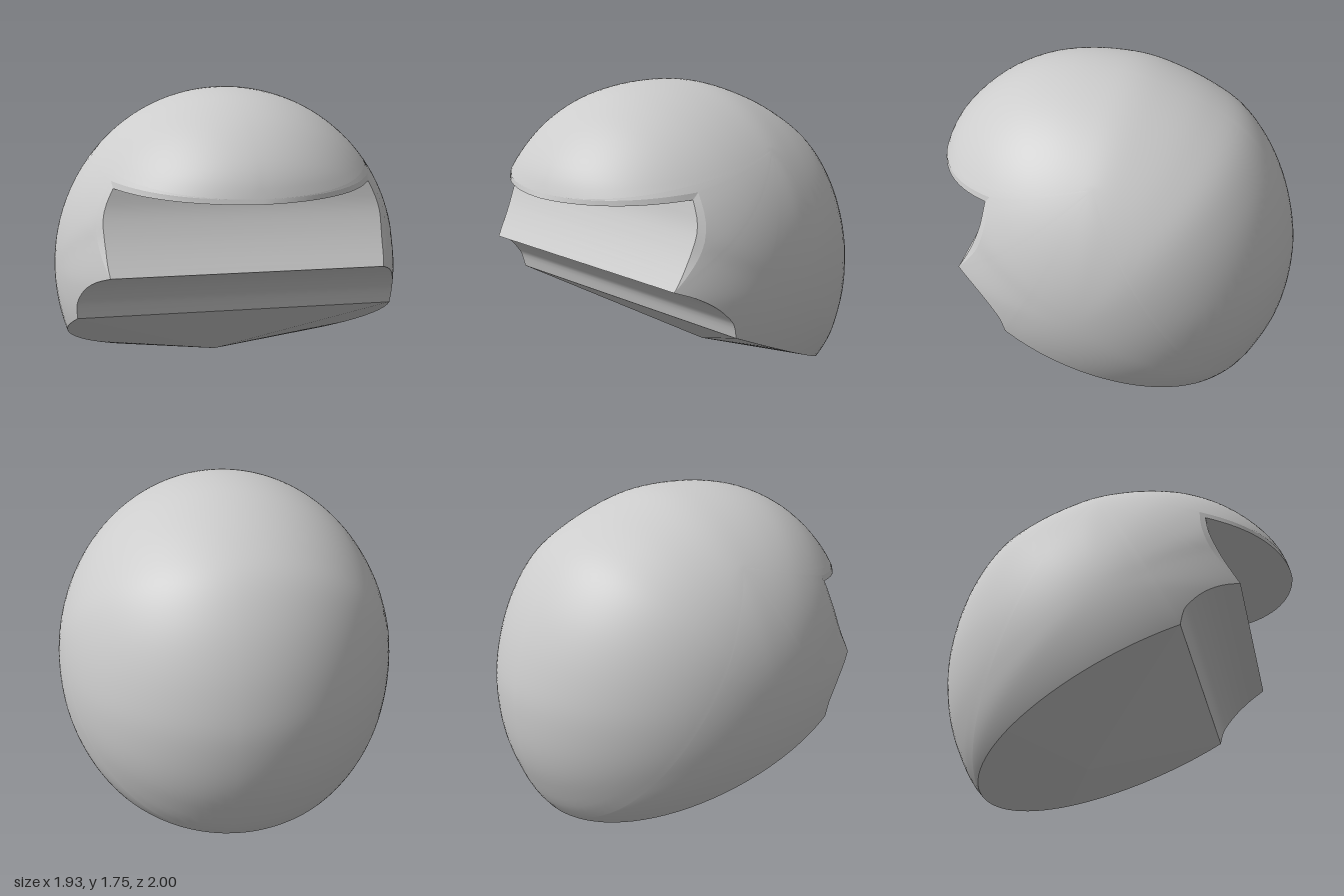
import * as THREE from 'three';
import { mergeVertices } from 'three/addons/utils/BufferGeometryUtils.js';

// Side-plane points are [z, y].
const HALF_WIDTH = 0.966;
const CENTRE = [0.05, 0.75];
const SPOKE_HUB = [0, 1.45];

// Full side outline of the dome, continued past the cuts
const OUTLINE = [
  [1, 1.25], [0.97, 1.33], [0.917, 1.416], [0.81, 1.53], [0.676, 1.63], [0.504, 1.71],
  [0.316, 1.752], [0.11, 1.763], [-0.075, 1.747], [-0.263, 1.693], [-0.477, 1.6],
  [-0.676, 1.47], [-0.826, 1.28], [-0.933, 1.047], [-0.992, 0.796], [-1, 0.636],
  [-0.976, 0.422], [-0.917, 0.235], [-0.788, 0.01], [-0.45, -0.2], [0.05, -0.28],
  [0.6, -0.12], [1, 0.28], [1.13, 0.8],
];
const TAU = Math.PI * 2;
const angleOf = ([z, y]) => Math.atan2(y - CENTRE[1], z - CENTRE[0]);
const polar = new THREE.CatmullRomCurve3(OUTLINE.map(([z, y]) => new THREE.Vector3(z, y, 0)), true)
  .getPoints(480).map((p) => ({
    a: angleOf([p.x, p.y]),
    r: Math.hypot(p.x - CENTRE[0], p.y - CENTRE[1]),
  }));
const start = polar[0].a;
polar.forEach((p, i) => {
  p.a = (p.a - start + TAU) % TAU;
  if (i === 0) p.a = 0;
  if (i === polar.length - 1) p.a = TAU;
});

function radiusAt(angle) {
  const a = (angle - start + 2 * TAU) % TAU;
  let i = 1;
  while (i < polar.length - 1 && polar[i].a < a) i++;
  const p = polar[i - 1], q = polar[i];
  return p.r + (q.r - p.r) * (a - p.a) / Math.max(q.a - p.a, 1e-9);
}
const onOutline = (a) => [CENTRE[0] + radiusAt(a) * Math.cos(a), CENTRE[1] + radiusAt(a) * Math.sin(a)];

// Half width of the dome at a side-plane point
function halfWidth(p) {
  const k = Math.hypot(p[0] - CENTRE[0], p[1] - CENTRE[1]) / radiusAt(angleOf(p));
  const s = 1 - k * k;
  return s < 1e-5 ? 0 : HALF_WIDTH * Math.sqrt(s);
}

const mix = (a, b, t) => [a[0] + (b[0] - a[0]) * t, a[1] + (b[1] - a[1]) * t];
// Line whose points crowd towards b (or towards a with crowdStart)
function line(a, b, n, crowdStart = false) {
  return Array.from({ length: n + 1 }, (_, i) => {
    const t = (i / n) * Math.PI / 2;
    return mix(a, b, crowdStart ? 1 - Math.cos(t) : Math.sin(t));
  });
}
function smooth(points, n) {
  return new THREE.CatmullRomCurve3(points.map(([z, y]) => new THREE.Vector3(z, y, 0)))
    .getPoints(n).map((p) => [p.x, p.y]);
}

function geometry(positions, index) {
  let g = new THREE.BufferGeometry();
  g.setAttribute('position', new THREE.Float32BufferAttribute(positions, 3));
  if (index) {
    g.setIndex(index);
    g = mergeVertices(g, 1e-5);
  }
  g.computeVertexNormals();
  return g;
}

// Dome: spokes from the hub to the boundary, bulged out to both sides
function domeGeometry(boundary) {
  const rings = 28, pos = [], index = [];
  for (const side of [1, -1]) {
    const base = pos.length / 3;
    for (const b of boundary) {
      for (let k = 0; k <= rings; k++) {
        const p = mix(SPOKE_HUB, b, Math.sin((k / rings) * Math.PI / 2));
        pos.push(side * halfWidth(p), p[1], p[0]);
      }
    }
    const row = rings + 1, n = boundary.length;
    for (let i = 0; i < n; i++) {
      for (let k = 0; k < rings; k++) {
        const a = base + i * row + k, d = base + ((i + 1) % n) * row + k;
        const tris = k ? [[a, a + 1, d + 1], [a, d + 1, d]] : [[a, a + 1, d + 1]];
        for (const [u, v, w] of tris) index.push(...(side > 0 ? [u, w, v] : [u, v, w]));
      }
    }
  }
  return geometry(pos, index);
}

// Wall spanning the whole width along a side-plane path
function wallGeometry(path, inset) {
  const pos = [], index = [];
  path.forEach((p, i) => {
    const x = Math.max(0, halfWidth(p) - inset(p));
    pos.push(x, p[1], p[0], -x, p[1], p[0]);
    if (i) {
      const a = 2 * i - 2, b = a + 1, d = a + 2, c = a + 3;
      index.push(a, d, c, a, c, b);
    }
  });
  return geometry(pos, index);
}

// Narrow bevel joining the dome's edge to the recessed wall
function bevelGeometry(inner, outer, inset) {
  const pos = [], index = [];
  for (const side of [1, -1]) {
    const base = pos.length / 3;
    inner.forEach((p, i) => {
      const q = outer[i];
      pos.push(side * Math.max(0, halfWidth(p) - inset(p)), p[1], p[0], side * halfWidth(q), q[1], q[0]);
      if (!i) return;
      const n = base + 2 * i - 2, o = n + 1, n2 = n + 2, o2 = n + 3;
      index.push(...(side > 0 ? [n, o, n2, o, o2, n2] : [n, n2, o, o, n2, o2]));
    });
  }
  return geometry(pos, index);
}

// Underside: faceted shallow cone from the rim to one low point
function undersideGeometry(rim) {
  const apex = [0, 0.15, -0.2], pos = [];
  const left = rim.map((p) => [halfWidth(p), p[1], p[0]]);
  const ring = [...left, ...left.map(([x, y, z]) => [-x, y, z]).reverse()];
  for (let i = 0; i < ring.length - 1; i++) pos.push(...apex, ...ring[i], ...ring[i + 1]);
  return geometry(pos);
}

export function createModel() {
  const group = new THREE.Group();
  const grey = new THREE.MeshStandardMaterial({ color: 0xcccccc });
  grey.name = 'plain grey';
  const add = (name, geo) => {
    const mesh = new THREE.Mesh(geo, grey);
    mesh.name = name;
    group.add(mesh);
  };

  // Cut paths, running from the rear rim forward and up to the brim
  const tipOuterAngle = angleOf([1, 1.27]);
  const rearAngle = angleOf([-0.788, 0.01]) + TAU;
  const tipInner = onOutline(angleOf([1, 1.24]));
  const rim = line(onOutline(rearAngle), [0.461, 0.566], 28, true);
  const chin = smooth([[0.461, 0.566], [0.483, 0.646], [0.515, 0.69], [0.58, 0.753], [0.665, 0.807], [0.756, 0.844]], 15);
  const visor = smooth([[0.756, 0.844], [0.7, 0.94], [0.65, 1.04], [0.605, 1.16], [0.585, 1.28]], 12);
  const visorOuter = smooth([[0.756, 0.844], [0.68, 0.94], [0.615, 1.04], [0.57, 1.18], [0.555, 1.315]], 12);
  const brim = line([0.585, 1.28], tipInner, 16);
  const brimOuter = line([0.555, 1.315], onOutline(tipOuterAngle), 16);

  const arc = Array.from({ length: 72 }, (_, i) => onOutline(tipOuterAngle + (rearAngle - tipOuterAngle) * i / 72));
  const boundary = [...arc, ...rim, ...chin.slice(1), ...visorOuter.slice(1), ...brimOuter.slice(1, -1)];

  const flush = () => 0;
  const recessed = ([, y]) => 0.012 * THREE.MathUtils.clamp((y - 0.844) / 0.12, 0, 1);

  add('domeShell', domeGeometry(boundary));
  add('underside', undersideGeometry(rim));
  add('chinRecess', wallGeometry(chin, flush));
  add('visorFace', wallGeometry(visor, recessed));
  add('brimUnderside', wallGeometry(brim, recessed));
  add('visorSideBevel', bevelGeometry(visor, visorOuter, recessed));
  add('brimBevel', bevelGeometry(brim, brimOuter, recessed));
  return group;
}
